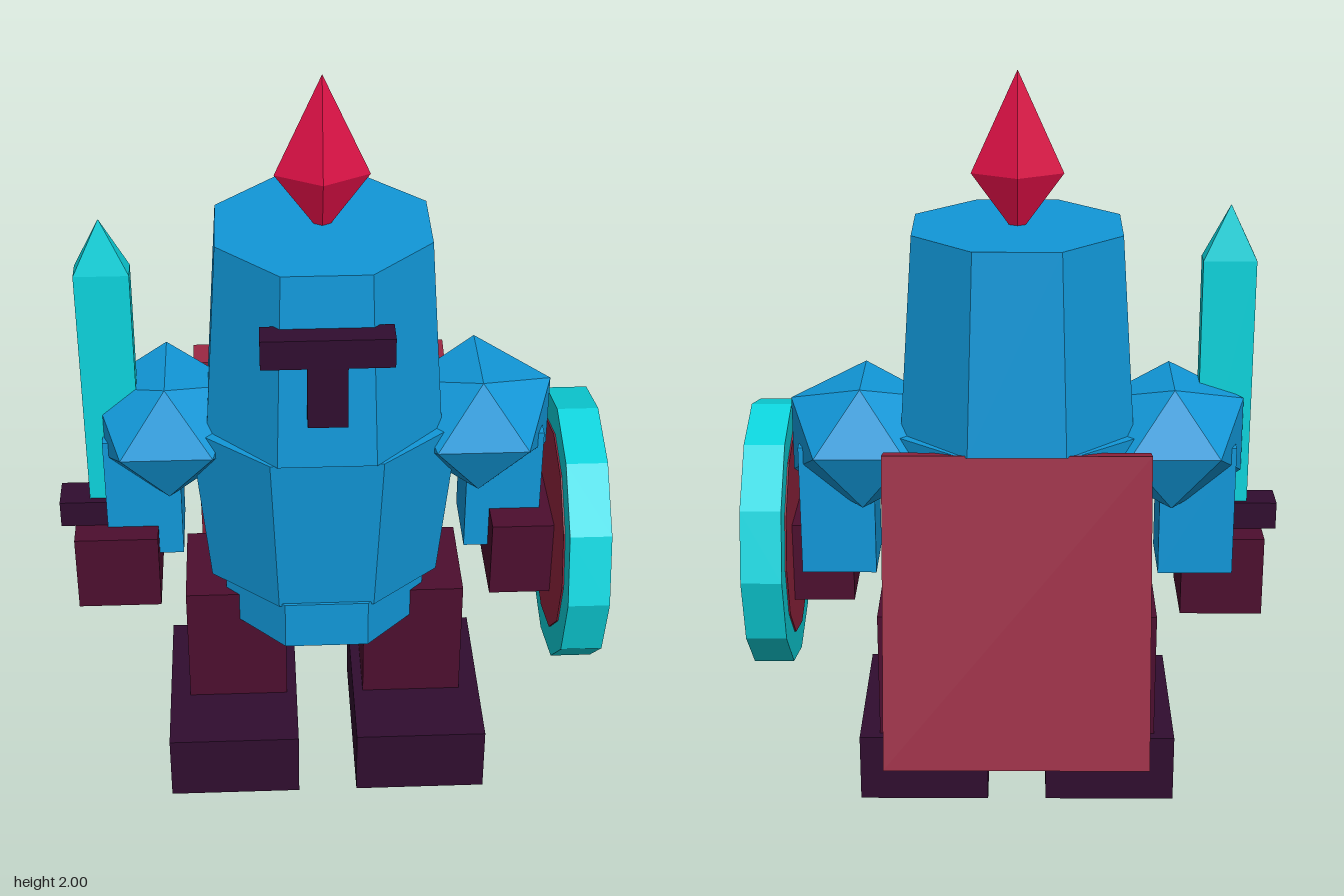
import * as THREE from 'three';

const mat = (name, color) => {
  const m = new THREE.MeshStandardMaterial({ color });
  m.name = name;
  return m;
};

// Faceted normals for every part
function flat(geo) {
  const g = geo.index ? geo.toNonIndexed() : geo;
  g.computeVertexNormals();
  return g;
}

// Regular prism with flat sides facing the axes; radii are given to the flats
function prism(top, bottom, height, sides, sx = 1, sz = 1) {
  const k = 1 / Math.cos(Math.PI / sides);
  return new THREE.CylinderGeometry(top * k, bottom * k, height, sides)
    .rotateY(Math.PI / sides).scale(sx, 1, sz);
}

export function createModel() {
  const blue = mat('armour blue', 0x1197d8);
  const cyan = mat('bright cyan', 0x0cd3dc);
  const red = mat('crest red', 0xdc0f45);
  const crimson = mat('cape crimson', 0x94253f);
  const maroon = mat('maroon', 0x4c0e2e);
  const dark = mat('dark plum', 0x300d2f);

  const model = new THREE.Group();
  model.name = 'knight';

  function add(name, geo, material, x, y, z, parent = model) {
    const mesh = new THREE.Mesh(flat(geo), material);
    mesh.name = name;
    mesh.position.set(x, y, z);
    parent.add(mesh);
    return mesh;
  }

  // Box given by its limits on each axis
  function box(name, material, [x0, x1], [y0, y1], [z0, z1], parent) {
    return add(name, new THREE.BoxGeometry(x1 - x0, y1 - y0, z1 - z0), material,
      (x0 + x1) / 2, (y0 + y1) / 2, (z0 + z1) / 2, parent);
  }

  const cx = -0.01, cz = 0.03; // body axis

  // Helmet, torso and skirt: stacked octagonal prisms
  add('helmet', prism(0.27, 0.305, 0.53, 8), blue, cx, 1.335, cz);
  add('torso', prism(0.35, 0.305, 0.48, 8, 1, 0.85), blue, cx, 0.83, cz);
  add('skirt', prism(0.268, 0.268, 0.14, 8), blue, cx, 0.53, cz);

  // T-shaped visor
  const visor = new THREE.Group();
  visor.name = 'visor';
  model.add(visor);
  box('visorSlit', dark, [-0.175, 0.155], [1.38, 1.46], [0.295, 0.367], visor);
  box('visorStem', dark, [-0.06, 0.04], [1.21, 1.38], [0.295, 0.367], visor);

  // Diamond crest: two four-sided cones joined at their bases
  const crest = new THREE.Group();
  crest.name = 'crest';
  model.add(crest);
  add('crestTop', new THREE.ConeGeometry(0.12, 0.265, 4, 1, true).scale(1, 1, 0.54), red, cx, 1.8675, cz, crest);
  add('crestBottom', new THREE.ConeGeometry(0.12, 0.165, 4, 1, true).rotateX(Math.PI).scale(1, 1, 0.54),
    red, cx, 1.6525, cz, crest);

  // Mirrored limbs
  for (const s of [-1, 1]) {
    const side = s > 0 ? 'left' : 'right';
    const size = 0.197 / 0.8507; // icosahedron reaches 0.197 along each axis
    add(side + 'Shoulder',
      new THREE.IcosahedronGeometry(size, 0).rotateY(Math.PI / 2).scale(0.98, 0.84, 1),
      blue, cx + s * 0.41, 1.025, 0.027);
    add(side + 'Arm', new THREE.BoxGeometry(0.2, 0.36, 0.2), blue, cx + s * 0.48, 0.84, 0.03);
    add(side + 'Leg', new THREE.BoxGeometry(0.272, 0.37, 0.285), maroon, cx + s * 0.243, 0.36, 0.033);
    add(side + 'Boot', new THREE.BoxGeometry(0.354, 0.19, 0.508), dark, cx + s * 0.257, 0.095, 0.117);
  }
  box('rightHand', maroon, [-0.677, -0.455], [0.53, 0.75], [-0.05, 0.19]);
  box('leftHand', maroon, [0.435, 0.66], [0.56, 0.78], [-0.03, 0.215]);

  // Sword in the right hand
  const sword = new THREE.Group();
  sword.name = 'sword';
  model.add(sword);
  box('swordGuard', dark, [-0.715, -0.42], [0.75, 0.825], [0.025, 0.12], sword);
  box('swordBlade', cyan, [-0.635, -0.495], [0.8, 1.5], [0.04, 0.1], sword);
  add('swordTip', new THREE.ConeGeometry(Math.SQRT2, 0.145, 4, 1, true).rotateY(Math.PI / 4).scale(0.07, 1, 0.03),
    cyan, -0.565, 1.5725, 0.07, sword);

  // Twelve-sided shield facing outward, with a disc on both faces
  const shield = new THREE.Group();
  shield.name = 'shield';
  shield.position.set(0.657, 0.713, 0.107);
  model.add(shield);
  const disc = (r, depth) => new THREE.CylinderGeometry(r, r, depth, 12).rotateZ(Math.PI / 2);
  add('shieldRim', disc(0.367, 0.108), cyan, 0, 0, 0, shield);
  for (const s of [-1, 1]) {
    add(s > 0 ? 'shieldFace' : 'shieldBack', disc(0.287, 0.006), crimson, s * 0.055, 0, 0, shield);
  }

  // Cape slab leaning away from the back
  const cape = add('cape', new THREE.BoxGeometry(0.69, 0.82, 0.07), crimson, cx, 0.668, -0.335);
  cape.rotation.x = 0.246;

  return model;
}
